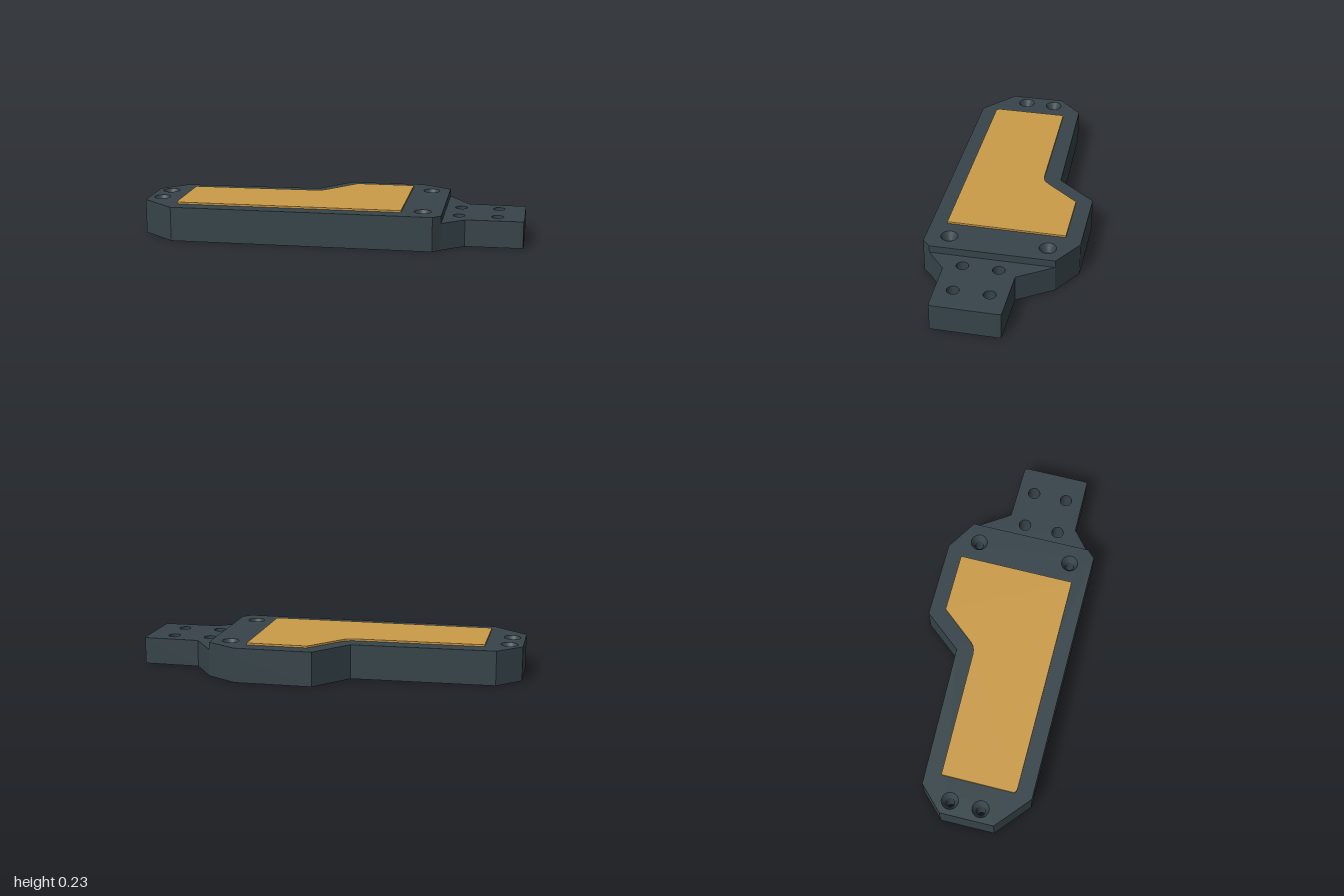
import * as THREE from 'three';

const TAB_TOP = 0.17, DECK_TOP = 0.217, PANEL_TOP = 0.229;
const SCREW_R = 0.027, SINK_R = 0.053, TAB_HOLE_R = 0.038;

// Screw holes in the thick body and plain holes in the mounting tab, as [x, z]
const screws = [[0.13, -0.67], [0.56, -0.24], [-0.89, 0.73], [-0.755, 0.87]];
const tabHoles = [[0.635, -0.812], [0.463, -0.643], [0.79, -0.658], [0.62, -0.487]];

// Outlines in plan, as [x, z]
const bodyEdge = [
  [0.715, -0.26], [0.715, -0.19], [-0.455, 0.977], [-0.74, 1.0], [-0.983, 0.76],
  [-0.983, 0.55], [-0.368, -0.1], [-0.4, -0.405], [-0.055, -0.75], [0.167, -0.803],
];
const tabEdge = [[0.42, -0.753], [0.665, -0.99], [0.68, -1.0], [0.695, -0.99], [0.97, -0.715],
  [0.98, -0.7], [0.97, -0.685], [0.73, -0.44]];
const panelEdge = [
  [-0.024, -0.64], [0.5, -0.116], [-0.5, 0.88], [-0.515, 0.887], [-0.53, 0.887], [-0.855, 0.563],
  [-0.3, -0.012], [-0.28, -0.037], [-0.269, -0.065], [-0.267, -0.095], [-0.294, -0.37],
];

// Extrudes a plan outline upward from y0 to y1, with round holes [x, z, radius]
function slab(name, edge, y0, y1, material, holes = []) {
  const shape = new THREE.Shape(edge.map(([x, z]) => new THREE.Vector2(x, -z)));
  for (const [x, z, r] of holes) {
    const path = new THREE.Path();
    path.absarc(x, -z, r, 0, Math.PI * 2, true);
    shape.holes.push(path);
  }
  const geometry = new THREE.ExtrudeGeometry(shape, { depth: y1 - y0, bevelEnabled: false, curveSegments: 16 });
  geometry.rotateX(-Math.PI / 2).translate(0, y0, 0);
  const mesh = new THREE.Mesh(geometry, material);
  mesh.name = name;
  return mesh;
}

export function createModel() {
  const group = new THREE.Group();
  group.name = 'mountingPlate';
  const slate = new THREE.MeshStandardMaterial({ color: 0x37444a, side: THREE.DoubleSide });
  slate.name = 'dark slate';
  const gold = new THREE.MeshStandardMaterial({ color: 0xcc9c49 });
  gold.name = 'gold';

  // Lower plate with the tab, raised deck over the body, inlaid panel
  const withRadius = (list, r) => list.map(([x, z]) => [x, z, r]);
  group.add(
    slab('basePlate', [...bodyEdge, ...tabEdge], 0, TAB_TOP, slate,
      [...withRadius(screws, SCREW_R), ...withRadius(tabHoles, TAB_HOLE_R)]),
    slab('raisedDeck', bodyEdge, TAB_TOP, DECK_TOP, slate, withRadius(screws, SINK_R)),
    slab('goldPanel', panelEdge, DECK_TOP, PANEL_TOP, gold),
  );

  // Conical countersinks joining the deck holes to the screw holes
  const sink = new THREE.LatheGeometry(
    [new THREE.Vector2(SINK_R, DECK_TOP), new THREE.Vector2(SCREW_R, TAB_TOP)], 32);
  for (const [x, z] of screws) {
    const mesh = new THREE.Mesh(sink, slate);
    mesh.name = 'countersink';
    mesh.position.set(x, 0, z);
    group.add(mesh);
  }
  return group;
}
